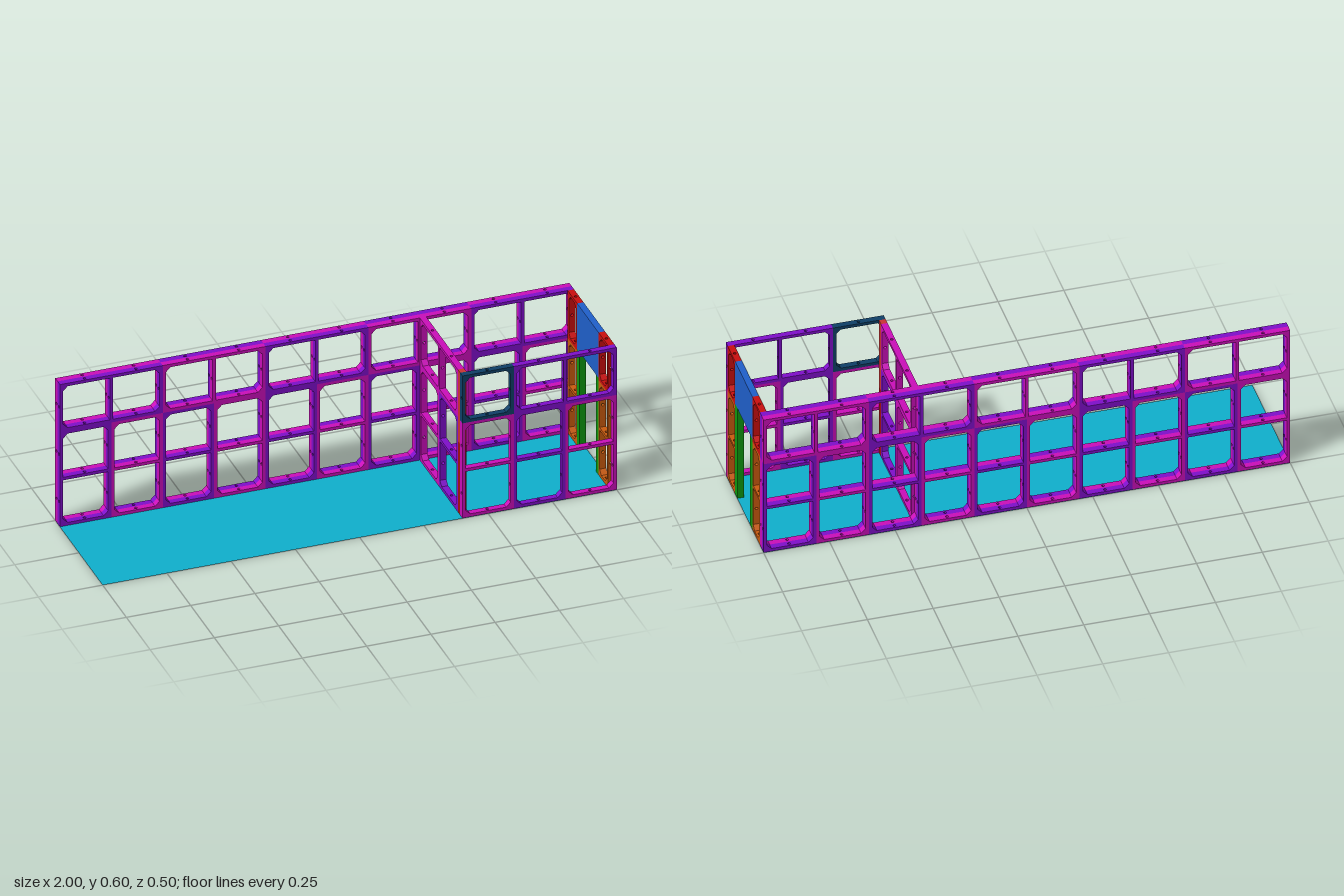
import * as THREE from 'three';
import { mergeGeometries } from 'three/addons/utils/BufferGeometryUtils.js';

const T = 0.0125;  // bar thickness
const D = 0.025;   // frame depth
const C = 0.0175;  // corner brace size
const HOLE = 0.0055;

const colours = {
  magenta: 0xcc0fbb, purple: 0x800fcc, cyan: 0x0fb1ce, orange: 0xcc5c0f, red: 0xcc0f0f,
  blue: 0x2060cc, green: 0x0f990f, navy: 0x0f4068, lightRed: 0xcc3333, darkRed: 0xa30f0f,
};

// Bar along x, centred, with bolt holes through its thickness (y)
function bar(length, holes) {
  const s = new THREE.Shape();
  s.moveTo(-length / 2, -D / 2);
  s.lineTo(length / 2, -D / 2);
  s.lineTo(length / 2, D / 2);
  s.lineTo(-length / 2, D / 2);
  s.closePath();
  for (const x of holes) {
    const h = new THREE.Path();
    h.absarc(x, 0, HOLE, 0, Math.PI * 2, true);
    s.holes.push(h);
  }
  return new THREE.ExtrudeGeometry(s, { depth: T, bevelEnabled: false, curveSegments: 10 })
    .translate(0, 0, -T / 2).rotateX(-Math.PI / 2);
}

// Triangular brace in an outer corner
function brace(w, h, sx, sy) {
  const x = sx * (w / 2 - T), y = sy * (h / 2 - T);
  const s = new THREE.Shape([
    new THREE.Vector2(x, y), new THREE.Vector2(x - sx * C, y), new THREE.Vector2(x, y - sy * C),
  ]);
  return new THREE.ExtrudeGeometry(s, { depth: D, bevelEnabled: false }).translate(0, 0, -D / 2);
}

// Open frame in the xy plane, split into cols x rows cells
function frameGeometry(w, h, cols, rows) {
  const centres = (size, n) => Array.from({ length: n }, (_, i) => (i + 0.5) * size / n - size / 2);
  const parts = [];
  for (let r = 0; r <= rows; r++) {
    const outer = r === 0 || r === rows;
    const y = r === 0 ? -h / 2 + T / 2 : r === rows ? h / 2 - T / 2 : r * h / rows - h / 2;
    parts.push(bar(outer ? w : w - 2 * T, centres(w, cols)).translate(0, y, 0));
  }
  for (let c = 0; c <= cols; c++) {
    const x = c === 0 ? -w / 2 + T / 2 : c === cols ? w / 2 - T / 2 : c * w / cols - w / 2;
    parts.push(bar(h - 2 * T, centres(h, rows)).rotateZ(Math.PI / 2).translate(x, 0, 0));
  }
  for (const sx of [-1, 1]) for (const sy of [-1, 1]) parts.push(brace(w, h, sx, sy));
  return mergeGeometries(parts);
}

export function createModel() {
  const model = new THREE.Group();
  model.name = 'framedRoom';
  const mats = {};
  for (const [name, color] of Object.entries(colours)) {
    mats[name] = new THREE.MeshStandardMaterial({ color });
    mats[name].name = name;
  }

  const tall = frameGeometry(0.2, 0.4, 1, 2);
  const wide = frameGeometry(0.4, 0.2, 2, 1);
  const square = frameGeometry(0.2, 0.2, 1, 1);
  const narrowTall = frameGeometry(0.1, 0.4, 1, 2);
  const narrowShort = frameGeometry(0.1, 0.2, 1, 1);

  const add = (parent, name, geo, colour, x, y, z, turned = false) => {
    const m = new THREE.Mesh(geo, mats[colour]);
    m.name = name;
    m.position.set(x, y, z);
    if (turned) m.rotation.y = Math.PI / 2;
    parent.add(m);
    return m;
  };
  const group = (name) => {
    const g = new THREE.Group();
    g.name = name;
    model.add(g);
    return g;
  };
  const box = (parent, name, colour, x, y0, y1, z0, z1) =>
    add(parent, name, new THREE.BoxGeometry(D, y1 - y0, z1 - z0), colour, x, (y0 + y1) / 2, (z0 + z1) / 2);

  // Floor sheet
  mats.cyan.side = THREE.DoubleSide;
  add(model, 'floor', new THREE.PlaneGeometry(2, 0.5).rotateX(-Math.PI / 2), 'cyan', 0, -0.001, 0);

  // Back wall: two layers with opposite colour order
  const back = group('backWall');
  [['purple', 'magenta', -0.2125], ['magenta', 'purple', -0.2375]].forEach(([a, b, z]) => {
    for (let i = 0; i < 10; i++) add(back, 'lowerBackFrame', tall, i % 2 ? b : a, -0.9 + i * 0.2, 0.2, z);
    for (let i = 0; i < 5; i++) add(back, 'upperBackFrame', wide, i % 2 ? b : a, -0.8 + i * 0.4, 0.5, z);
  });

  // Short front wall
  const front = group('frontWall');
  ['magenta', 'purple', 'magenta'].forEach((c, i) =>
    add(front, 'lowerFrontFrame', tall, c, 0.5 + i * 0.2, 0.2, 0.2375));
  add(front, 'squareFrontFrame', square, 'navy', 0.5, 0.5, 0.2375);
  add(front, 'upperFrontFrame', wide, 'purple', 0.8, 0.5, 0.2375);

  // Cross partition with filler posts
  const partition = group('partition');
  const px = 0.4 + D / 2;
  add(partition, 'lowerPartitionFrame', tall, 'magenta', px, 0.2, -0.1, true);
  add(partition, 'lowerPartitionFrame', tall, 'purple', px, 0.2, 0.1, true);
  add(partition, 'upperPartitionFrame', wide, 'magenta', px, 0.5, 0, true);
  box(partition, 'lowerFiller', 'darkRed', px, 0, 0.3, 0.2, 0.225);
  box(partition, 'upperFiller', 'lightRed', px, 0.3, 0.6, 0.2, 0.225);

  // End wall with doorway
  const end = group('endWall');
  const ex = 1 - D / 2;
  for (const z of [0.175, -0.15]) {
    add(end, 'lowerEndFrame', narrowTall, 'orange', ex, 0.2, z, true);
    add(end, 'upperEndFrame', narrowShort, 'red', ex, 0.5, z, true);
  }
  box(end, 'doorHeader', 'blue', ex, 0.408, 0.6, -0.1, 0.125);
  box(end, 'doorJamb', 'green', ex, 0, 0.408, 0.0975, 0.125);
  box(end, 'doorJamb', 'green', ex, 0, 0.408, -0.1, -0.0725);

  return model;
}
